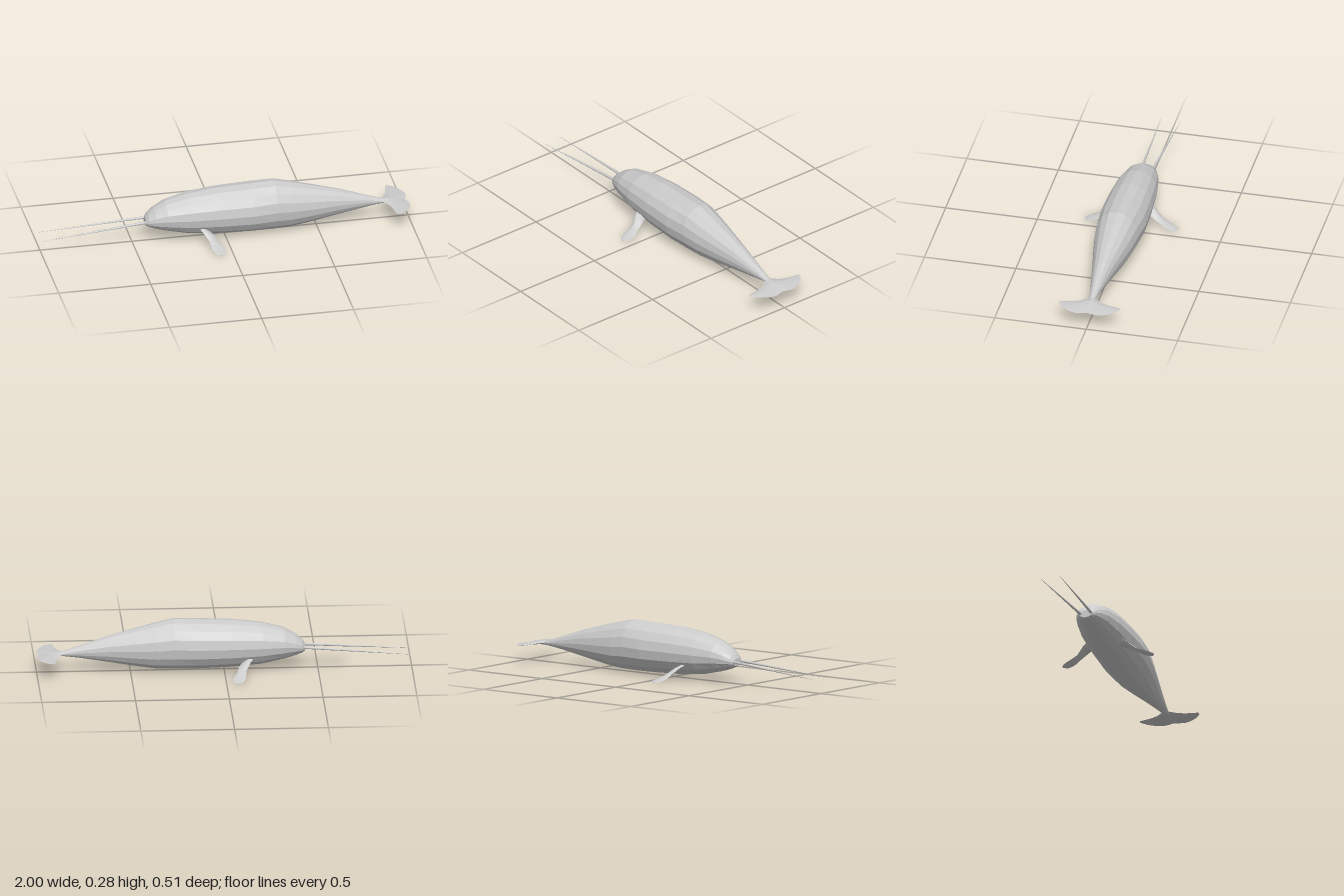
import * as THREE from 'three';

// Skins a list of rings (arrays of [x, y, z]), closes both ends, faceted normals
function loft(rings) {
  const n = rings[0].length, tris = [];
  const mid = r => [0, 1, 2].map(k => r.reduce((s, p) => s + p[k], 0) / n);
  const first = rings[0], last = rings[rings.length - 1];
  const c0 = mid(first), c1 = mid(last);
  for (let j = 0; j < n; j++) {
    const k = (j + 1) % n;
    for (let i = 0; i < rings.length - 1; i++) {
      const a = rings[i], b = rings[i + 1];
      tris.push([a[j], b[j], b[k]], [a[j], b[k], a[k]]);
    }
    tris.push([c0, first[j], first[k]], [c1, last[k], last[j]]);
  }
  // Turn the faces outward whichever way the rings run
  const v = p => new THREE.Vector3(...p);
  const volume = tris.reduce((s, [a, b, c]) => s + v(a).dot(v(b).cross(v(c))), 0);
  if (volume < 0) tris.forEach(t => t.reverse());
  const geo = new THREE.BufferGeometry();
  geo.setAttribute('position', new THREE.Float32BufferAttribute(tris.flat(2), 3));
  geo.computeVertexNormals();
  return geo;
}

// Thin blade spanning z; each section is [z, xLead, xTrail, yLead, yTrail, thickness]
function blade(sections, side) {
  return loft(sections.map(([z, x0, x1, y0, y1, t]) => {
    const at = (u, h) => [x0 + (x1 - x0) * u, y0 + (y1 - y0) * u + h * t / 2, z * side];
    return [at(0, 0), at(0.25, 0.9), at(0.55, 0.8), at(1, 0), at(0.55, -0.8), at(0.25, -0.9)];
  }));
}

export function createModel() {
  const model = new THREE.Group();
  const grey = new THREE.MeshStandardMaterial({ color: 0xcccccc });
  grey.name = 'pale grey';
  const add = (name, geo) => {
    const mesh = new THREE.Mesh(geo, grey);
    mesh.name = name;
    model.add(mesh);
    return mesh;
  };

  // Body: x, bottom, top, half width
  const body = [
    [-0.43, 0.097, 0.138, 0.035], [-0.415, 0.088, 0.16, 0.052], [-0.38, 0.075, 0.19, 0.07],
    [-0.32, 0.058, 0.225, 0.09], [-0.2, 0.032, 0.257, 0.111], [-0.04, 0.018, 0.275, 0.123],
    [0.14, 0.012, 0.282, 0.128], [0.27, 0.011, 0.286, 0.117], [0.36, 0.013, 0.266, 0.105],
    [0.46, 0.027, 0.24, 0.087], [0.62, 0.054, 0.196, 0.056], [0.78, 0.08, 0.142, 0.028],
    [0.86, 0.09, 0.115, 0.016], [0.93, 0.092, 0.107, 0.007],
  ];
  const sides = 16;
  add('body', loft(body.map(([x, lo, hi, w]) =>
    Array.from({ length: sides }, (_, i) => {
      const a = i / sides * Math.PI * 2;
      return [x, (lo + hi) / 2 + Math.cos(a) * (hi - lo) / 2, Math.sin(a) * w];
    }))));

  const flipper = [
    [0.085, -0.155, -0.09, 0.09, 0.06, 0.03], [0.12, -0.135, -0.072, 0.072, 0.05, 0.024],
    [0.16, -0.11, -0.06, 0.04, 0.03, 0.018], [0.185, -0.108, -0.045, 0.026, 0.02, 0.014],
    [0.215, -0.104, -0.036, 0.014, 0.011, 0.01], [0.24, -0.093, -0.037, 0.007, 0.006, 0.006],
    [0.256, -0.077, -0.056, 0.003, 0.003, 0.004],
  ];
  const fluke = [
    [0, 0.845, 0.985, 0.108, 0.096, 0.022], [0.02, 0.858, 0.992, 0.106, 0.096, 0.018],
    [0.06, 0.885, 1.0, 0.103, 0.096, 0.013], [0.1, 0.897, 0.988, 0.101, 0.097, 0.01],
    [0.14, 0.903, 0.962, 0.1, 0.099, 0.007], [0.165, 0.91, 0.93, 0.101, 0.1, 0.004],
  ];
  for (const [label, side] of [['front', 1], ['back', -1]]) {
    add(label + 'Flipper', blade(flipper, side));
    add(label + 'TailFluke', blade(fluke, side));

    // Long tapering tusk
    const root = new THREE.Vector3(-0.4, 0.124, 0.029 * side);
    const tip = new THREE.Vector3(-1, 0.08, 0.054 * side);
    const dir = tip.clone().sub(root);
    const tusk = add(label + 'Tusk', new THREE.CylinderGeometry(0.0008, 0.008, dir.length(), 8));
    tusk.position.copy(root).add(tip).multiplyScalar(0.5);
    tusk.quaternion.setFromUnitVectors(new THREE.Vector3(0, 1, 0), dir.normalize());
  }
  return model;
}
